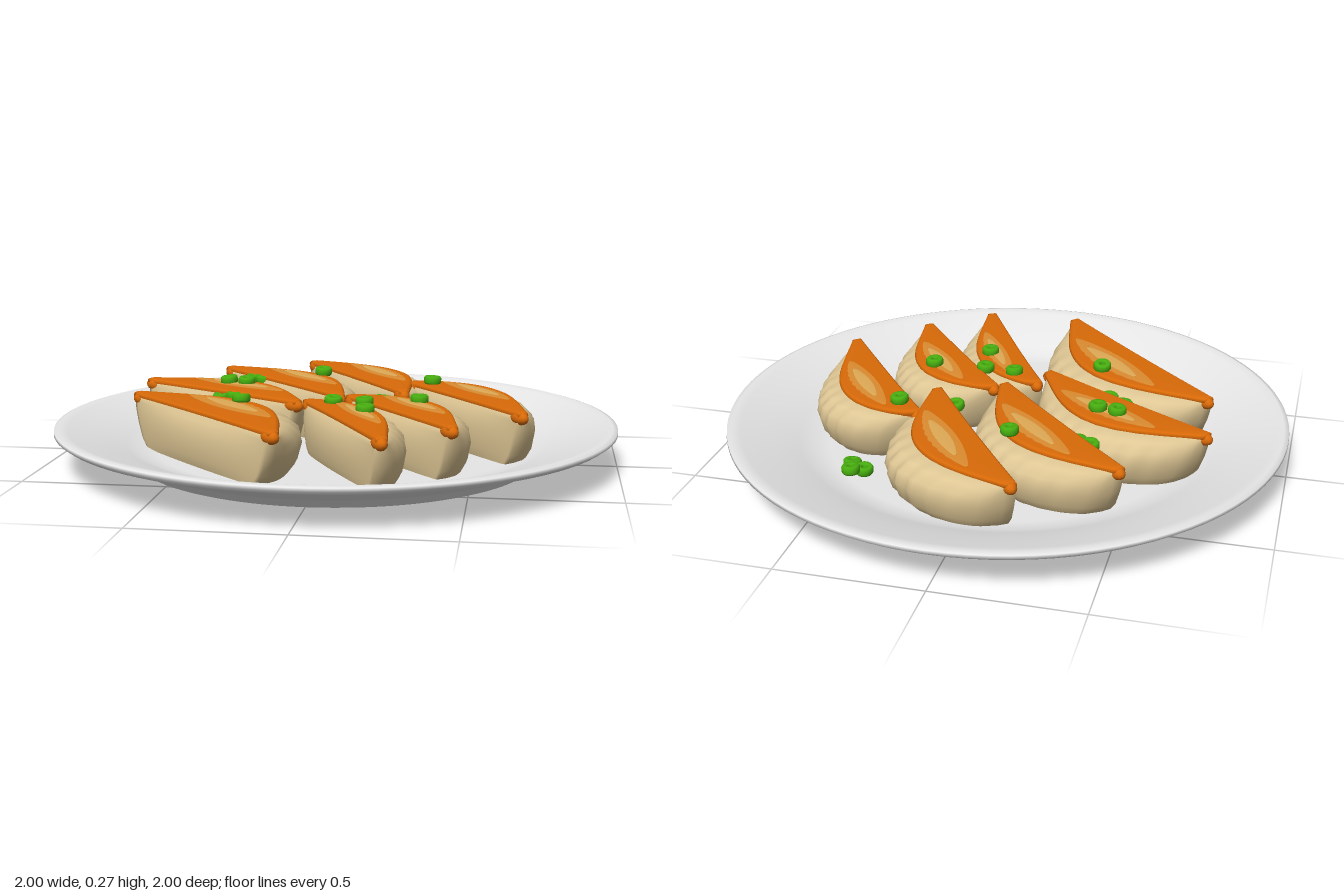
import * as THREE from 'three';

const mat = (name, color) => {
  const m = new THREE.MeshStandardMaterial({ color });
  m.name = name;
  return m;
};
const SEG = 48;

// Closed crescent outline: bulged outer edge from tip to tip, then the flatter inner edge back.
// skew below 1 makes the first end fuller than the second.
function crescent({ y, len, outer, inner, pow, tip = 0.018, pleat = 0, skew = 1 }) {
  const bulge = (s) => Math.pow(Math.max(0, Math.sin(Math.PI * Math.pow(s, skew))), pow);
  const pts = [];
  for (let j = 0; j <= SEG; j++) {
    const s = j / SEG, b = bulge(s);
    const fold = 1 + pleat * Math.cos(s * Math.PI * 20) * b;
    pts.push([(s - 0.5) * len, y, -(tip + (outer - tip) * b * fold)]);
  }
  for (let j = SEG; j >= 0; j--) {
    const s = j / SEG, b = bulge(s);
    pts.push([(s - 0.5) * len, y, tip + (inner - tip) * b]);
  }
  return pts;
}

// Skin stacked outlines from bottom to top, closing the top with a strip.
function loft(rings) {
  const n = rings[0].length, idx = [], pos = rings.flat(2);
  for (let k = 0; k < rings.length - 1; k++) {
    for (let j = 0; j < n; j++) {
      const a = k * n + j, b = k * n + (j + 1) % n;
      idx.push(a, a + n, b, b, a + n, b + n);
    }
  }
  const top = (rings.length - 1) * n;
  for (let j = 0; j < SEG; j++) {
    const o = top + j, i = top + n - 1 - j;
    idx.push(o, i, o + 1, o + 1, i, i - 1);
  }
  const g = new THREE.BufferGeometry();
  g.setAttribute('position', new THREE.Float32BufferAttribute(pos, 3));
  g.setIndex(idx);
  g.computeVertexNormals();
  return g;
}

export function createModel() {
  const root = new THREE.Group();
  root.name = 'dumplingPlate';
  const white = mat('porcelain', 0xf2f2f2);
  const dough = mat('dough', 0xdec694);
  const crust = mat('friedCrust', 0xd96a08);
  const golden = mat('goldenCrust', 0xdd8c30);
  const pale = mat('paleCrust', 0xe0aa55);
  const green = mat('scallion', 0x48b010);

  const add = (parent, name, geo, material) => {
    const m = new THREE.Mesh(geo, material);
    m.name = name;
    parent.add(m);
    return m;
  };

  // Plate: flat foot, flared rim, shallow well
  const profile = [
    [0, 0.003], [0.69, 0.003], [0.71, 0.01], [0.73, 0.035], [0.76, 0.047], [0.87, 0.085], [0.98, 0.12],
    [0.998, 0.133], [0.997, 0.145], [0.98, 0.15], [0.95, 0.143], [0.84, 0.11],
    [0.75, 0.078], [0.7, 0.057], [0.64, 0.05], [0, 0.05],
  ].map(([x, y]) => new THREE.Vector2(x, y));
  add(root, 'plate', new THREE.LatheGeometry(profile, 96), white);

  // Dumplings: tip A (x, z), tip B (x, z), bulge width, drop in height, skew
  const dumplings = [
    [-0.19, -0.70, 0.24, -0.08, 0.29, 0, 0.95],
    [-0.50, -0.52, 0.02, 0.02, 0.28, 0, 1],
    [-0.74, -0.21, -0.11, 0.16, 0.28, 0, 1],
    [-0.71, 0.07, -0.10, 0.68, 0.33, 0, 1],
    [-0.09, 0.08, 0.24, 0.68, 0.22, 0.01, 0.75],
    [0.05, 0.00, 0.45, 0.50, 0.26, 0.005, 0.8],
    [0.25, -0.28, 0.67, 0.27, 0.265, 0, 0.72],
  ];
  dumplings.forEach(([ax, az, bx, bz, w, drop, skew], i) => {
    const d = new THREE.Group();
    d.name = `dumpling${i + 1}`;
    d.position.set((ax + bx) / 2, -drop, (az + bz) / 2);
    d.rotation.y = Math.atan2(-(bz - az), bx - ax);
    root.add(d);
    const L = Math.hypot(bx - ax, bz - az);

    // Pleated dough body: height, length, bulge, inner bulge, fullness, pleat depth
    const body = [
      [0.05, 0.8, 0.84, 0.03, 0.55, 0.01],
      [0.085, 0.88, 0.95, 0.042, 0.6, 0.015],
      [0.14, 0.94, 1.0, 0.045, 0.65, 0.025],
      [0.18, 0.97, 0.96, 0.04, 0.7, 0.03],
      [0.21, 0.98, 0.84, 0.028, 0.85, 0.03],
      [0.229, 0.98, 0.66, 0.012, 1.0, 0.015],
    ].map(([y, l, o, inner, pow, pleat]) =>
      crescent({ y, len: L * l, outer: w * o, inner, pow, pleat, skew }));
    add(d, 'doughBody', loft(body), dough);

    // Fried top with a rounded edge
    const top = [
      [0.22, 0.99, 0.67, 0.01, 0.016],
      [0.23, 1.0, 0.69, 0.016, 0.02],
      [0.239, 1.0, 0.67, 0.012, 0.017],
      [0.243, 0.985, 0.63, 0.004, 0.01],
    ].map(([y, l, o, inner, tip]) =>
      crescent({ y, len: L * l, outer: w * o, inner, pow: 1.05, tip, skew }));
    add(d, 'friedTop', loft(top), crust);

    // Browned patches as thin plates following the bend of the top
    const patch = (name, y, len, centre, outer, inner, material) => {
      const outline = (h) => crescent({
        y: h, len: L * len, outer: w * outer, inner: w * inner, pow: 0.8, tip: 0.004, pleat: 0.06,
      });
      const p = add(d, name, loft([outline(y - 0.003), outline(y)]), material);
      p.position.set((skew - 1) * L * 0.3, 0, -w * centre);
    };
    patch('goldenPatch', 0.2455, 0.58, 0.33, 0.2, 0.13, golden);
    patch('palePatch', 0.248, 0.36, 0.37, 0.08, 0.09, pale);

    // Pinched ends
    for (const side of [-1, 1]) {
      const tip = add(d, 'pinchedTip', new THREE.SphereGeometry(0.024, 14, 10), crust);
      tip.scale.set(1.7, 1, 1);
      tip.position.set(side * (L / 2 - 0.022), 0.219, 0);
    }
  });

  // Scallion rings: x, y of centre, z
  const ringProfile = [[0.007, -0.014], [0.026, -0.016], [0.032, -0.008], [0.032, 0.008],
    [0.027, 0.015], [0.014, 0.015], [0.008, 0.008], [0.007, -0.014]]
    .map(([x, y]) => new THREE.Vector2(x, y));
  const ringGeo = new THREE.LatheGeometry(ringProfile, 16);
  const rings = [
    [-0.42, 0.256, -0.135], [-0.35, 0.256, -0.12], [-0.30, 0.256, 0.22], [-0.10, 0.256, -0.37],
    [0.33, 0.256, -0.23], [0.31, 0.25, 0.12], [0.01, 0.24, 0.135], [0.12, 0.24, 0.14], [0.14, 0.243, 0.285],
    [-0.42, 0.215, 0.0], [-0.365, 0.225, 0.02], [-0.37, 0.225, -0.355], [-0.325, 0.225, -0.335],
    [0.16, 0.2, -0.12], [0.2, 0.19, -0.105],
    [0.43, 0.09, -0.47], [0.395, 0.075, -0.435], [0.45, 0.075, -0.4],
  ];
  rings.forEach(([x, y, z], i) => {
    const r = add(root, 'scallionRing', ringGeo, green);
    r.position.set(x, y, z);
    r.rotation.set(0.1 * Math.sin(i * 2.3), i, 0.1 * Math.cos(i * 1.7));
  });

  return root;
}
